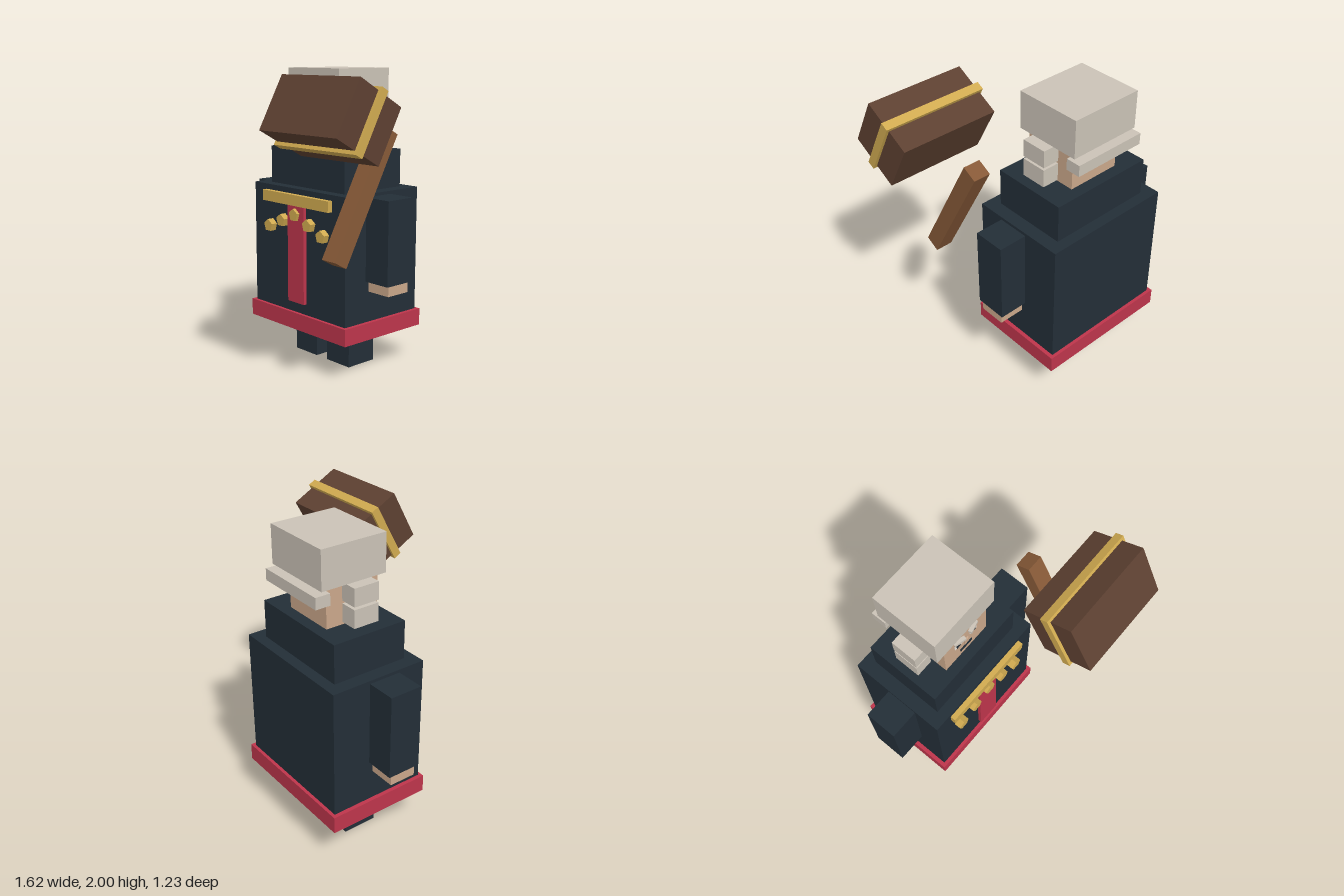
import * as THREE from 'three';

const mat = (name, color) => {
  const m = new THREE.MeshStandardMaterial({ color });
  m.name = name;
  return m;
};

export function createModel() {
  const navy = mat('navy cloth', 0x232e37);
  const red = mat('red trim', 0xbd354b);
  const gold = mat('gold', 0xd0aa50);
  const wig = mat('grey wig', 0xcac2b6);
  const skin = mat('skin', 0xcaa78a);
  const darkWood = mat('dark wood', 0x5d4031);
  const wood = mat('handle wood', 0x865937);
  const white = mat('eye white', 0xe8e4dc);

  const model = new THREE.Group();
  model.name = 'judge';
  const CX = -0.165; // centre line of the figure

  // box from its min and max on each axis
  const box = (name, m, [x0, x1], [y0, y1], [z0, z1], parent = model) => {
    const mesh = new THREE.Mesh(new THREE.BoxGeometry(x1 - x0, y1 - y0, z1 - z0), m);
    mesh.position.set((x0 + x1) / 2, (y0 + y1) / 2, (z0 + z1) / 2);
    mesh.name = name;
    parent.add(mesh);
    return mesh;
  };
  // box with x given as distances from the centre line, on both sides
  const pair = (name, m, [d0, d1], y, z) => {
    box('left' + name, m, [CX + d0, CX + d1], y, z);
    box('right' + name, m, [CX - d1, CX - d0], y, z);
  };

  // robe
  box('robe', navy, [-0.62, 0.29], [0.3, 1.217], [-0.59, 0.07]);
  box('hem', red, [-0.647, 0.317], [0.255, 0.37], [-0.612, 0.093]);
  box('shoulders', navy, [-0.53, 0.2], [1.2, 1.47], [-0.517, -0.005]);
  pair('Leg', navy, [0.054, 0.272], [0, 0.28], [-0.375, -0.142]);
  pair('Sleeve', navy, [0.44, 0.65], [0.645, 1.197], [-0.33, -0.113]);
  pair('Hand', skin, [0.463, 0.64], [0.577, 0.66], [-0.31, -0.132]);

  // chest decoration
  box('frontStripe', red, [-0.245, -0.083], [0.445, 1.13], [0.05, 0.094]);
  box('chestBar', gold, [-0.495, 0.165], [1.107, 1.18], [0.05, 0.105]);
  const medalGeo = new THREE.CylinderGeometry(0.044, 0.044, 0.045, 5).toNonIndexed();
  medalGeo.rotateY(Math.PI).rotateX(Math.PI / 2);
  medalGeo.computeVertexNormals();
  for (let i = -2; i <= 2; i++) {
    const medal = new THREE.Mesh(medalGeo, gold);
    medal.name = 'medal';
    medal.position.set(CX + i * 0.132, 1.046 - Math.abs(i) * 0.053, 0.093);
    model.add(medal);
  }

  // head and wig
  box('head', skin, [-0.35, 0.02], [1.45, 1.76], [-0.44, -0.072]);
  box('wigTop', wig, [-0.415, 0.085], [1.75, 2], [-0.515, -0.063]);
  box('wigBack', wig, [-0.42, 0.09], [1.655, 1.73], [-0.56, -0.46]);
  for (const y of [[1.635, 1.75], [1.5, 1.618]]) pair('WigCurl', wig, [0.207, 0.322], y, [-0.343, -0.17]);

  // face
  pair('Eye', white, [0.037, 0.096], [1.624, 1.67], [-0.075, -0.069]);
  pair('Pupil', navy, [0.05, 0.082], [1.63, 1.665], [-0.074, -0.066]);
  box('nose', skin, [-0.182, -0.147], [1.58, 1.63], [-0.08, -0.062]);
  box('mouth', navy, [-0.218, -0.115], [1.525, 1.55], [-0.075, -0.067]);
  for (const s of [-1, 1]) {
    const brow = box('eyebrow', wig, [-0.04, 0.04], [1.7, 1.722], [-0.012, 0.012]);
    brow.position.set(CX + s * 0.06, 1.711, -0.063);
    brow.rotation.y = s * 0.25;
  }

  // gavel, leaning back
  const tilted = (name, m, size, x, y, z) => {
    const mesh = new THREE.Mesh(new THREE.BoxGeometry(...size), m);
    mesh.position.set(x, y, z);
    mesh.rotation.x = -0.502;
    mesh.name = name;
    model.add(mesh);
  };
  tilted('gavelHandle', wood, [0.115, 0.88, 0.106], 0.458, 1.25, 0.109);
  tilted('gavelHead', darkWood, [0.66, 0.363, 0.366], 0.46, 1.727, 0.366);
  tilted('gavelBand', gold, [0.7, 0.408, 0.055], 0.46, 1.727, 0.367);

  return model;
}
